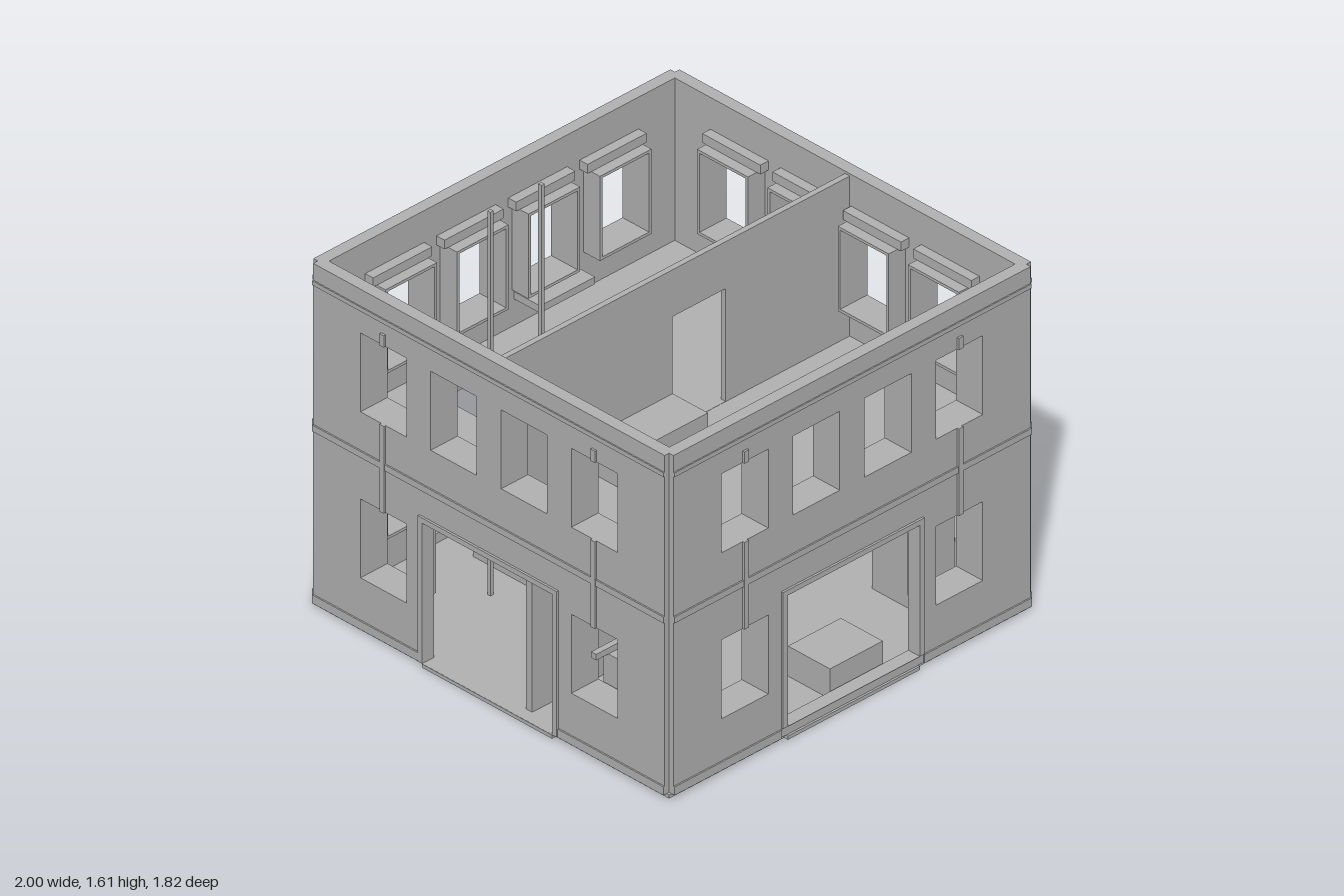
import * as THREE from 'three';

export function createModel() {
  const grey = new THREE.MeshStandardMaterial({ color: 0xb2b2b2 });
  grey.name = 'plaster grey';
  const model = new THREE.Group();
  model.name = 'building';

  const CX = -0.09, D = 0.9, HALF = 0.878, T = 0.05, H = 1.425;
  const WIN = [-0.527, -0.176, 0.176, 0.527], HW = 0.115;

  // Box given by its min and max on each axis
  const box = (parent, name, x0, x1, y0, y1, z0, z1) => {
    const m = new THREE.Mesh(new THREE.BoxGeometry(x1 - x0, y1 - y0, z1 - z0), grey);
    m.position.set((x0 + x1) / 2, (y0 + y1) / 2, (z0 + z1) / 2);
    m.name = name;
    parent.add(m);
    return m;
  };

  // Upright or flat panel with rectangular openings [u0, u1, v0, v1]
  const panel = (name, u0, u1, v0, v1, holes, depth) => {
    const rect = (S, [a, b, c, d]) => {
      const s = new S();
      s.moveTo(a, c); s.lineTo(b, c); s.lineTo(b, d); s.lineTo(a, d); s.closePath();
      return s;
    };
    const shape = rect(THREE.Shape, [u0, u1, v0, v1]);
    shape.holes = holes.map((h) => rect(THREE.Path, h));
    const m = new THREE.Mesh(new THREE.ExtrudeGeometry(shape, { depth, bevelEnabled: false }), grey);
    m.name = name;
    return m;
  };

  // One outer wall with windows, pipes, bands and a doorway; outside is local +z
  const side = (name, turn, doorHalf, doorBottom) => {
    const g = new THREE.Group();
    g.name = name;
    g.position.x = CX;
    g.rotation.y = turn;
    const inner = D - T;
    const openings = WIN.map((u) => [u - HW, u + HW, 0.915, 1.243]);
    for (const u of [WIN[0], WIN[3]]) openings.push([u - HW, u + HW, 0.225, 0.553]);
    const wall = panel('wall', -HALF, HALF, 0.015, H,
      [...openings, [-doorHalf, doorHalf, doorBottom, 0.6]], T);
    wall.position.z = inner;
    g.add(wall);

    // Deep inner window casings with a header and a sill
    for (const [a, b, c, d] of openings) {
      const e = 0.012;
      const casing = panel('windowCasing', a - e, b + e, c - e, d + e, [[a, b, c, d]], 0.085);
      casing.position.z = inner - 0.083;
      g.add(casing);
      box(g, 'windowHeader', a - 0.03, b + 0.03, d + e, d + 0.05, inner - 0.04, inner + 0.002);
    }

    // Pipes between the outer windows of both floors
    for (const u of [WIN[0], WIN[3]]) {
      box(g, 'pipe', u - 0.011, u + 0.011, 0.553, 0.915, D - 0.01, D + 0.009);
      box(g, 'pipeStub', u - 0.011, u + 0.011, 1.243, 1.292, D - 0.01, D + 0.009);
    }

    // Horizontal bands
    box(g, 'floorBand', -HALF, HALF, 0.73, 0.756, D - 0.01, D + 0.006);
    box(g, 'topBand', -HALF, HALF, 1.337, 1.355, D - 0.01, D + 0.005);
    for (const s of [-1, 1]) {
      const a = s < 0 ? -HALF : doorHalf + 0.025, b = s < 0 ? -doorHalf - 0.025 : HALF;
      box(g, 'baseBand', a, b, 0.015, 0.05, D - 0.01, D + 0.006);
    }

    // Door surround
    const trim = panel('doorSurround', -doorHalf - 0.023, doorHalf + 0.023, doorBottom, 0.622,
      [[-doorHalf, doorHalf, doorBottom + 0.0005, 0.6]], 0.018);
    trim.position.z = D - 0.009;
    g.add(trim);
    box(g, 'doorStep', -doorHalf, doorHalf, 0, 0.015, D - 0.02, D + 0.009);
    model.add(g);
    return g;
  };
  side('frontWall', 0, 0.325, 0.055);
  side('backWall', Math.PI, 0.325, 0.055);
  side('leftWall', Math.PI / 2, 0.24, 0.016);
  side('rightWall', -Math.PI / 2, 0.325, 0.016);

  // Ground floor
  box(model, 'groundFloor', CX - 0.89, CX + 0.89, 0, 0.015, -0.89, 0.89);

  // Upper floor with a ladder hatch (panel v axis becomes -z)
  const slab = panel('upperFloor', -0.95, 0.77, -0.86, 0.86, [[-0.54, -0.23, 0.44, 0.75]], 0.035);
  slab.rotation.x = -Math.PI / 2;
  slab.position.y = 0.715;
  model.add(slab);

  // Inner partitions, one per floor
  const upper = panel('upperPartition', -0.945, 0.765, 0.745, 1.415, [[-0.11, 0.15, 0.751, 1.22]], 0.024);
  model.add(upper);
  box(model, 'groundPartition', -0.945, 0.765, 0.01, 0.72, 0.14, 0.17);
  box(model, 'innerDoor', -0.02, 0.24, 0.015, 0.49, 0.165, 0.178);
  box(model, 'partitionStrip', -0.095, -0.085, 0.015, 0.72, 0.165, 0.178);

  // Ladder rails through the hatch
  for (const x of [-0.51, -0.26])
    box(model, 'ladderRail', x - 0.008, x + 0.008, 0.015, 1.61, -0.488, -0.472);

  // Canopy over the left door
  const canopy = new THREE.Group();
  canopy.name = 'canopy';
  box(canopy, 'canopyRoof', 0.805, 1.0, 0.633, 0.66, -0.285, 0.285);
  for (const s of [-1, 1]) {
    const z = s * 0.262;
    box(canopy, 'canopyPost', 0.94, 0.968, 0.015, 0.635, z - 0.016, z + 0.016);
    box(canopy, 'doorLintelEnd', 0.8, 0.825, 0.6, 0.625, s * 0.3 - 0.03, s * 0.3 + 0.03);
    box(canopy, 'doorPilaster', 0.8, 0.822, 0.015, 0.6, s * 0.285 - 0.012, s * 0.285 + 0.012);
  }
  model.add(canopy);
  box(model, 'wallBox', 0.8, 0.87, 0.19, 0.365, 0.305, 0.338);

  // Furniture
  box(model, 'crate', -0.14, 0.12, 0.015, 0.14, 0.63, 0.84);
  box(model, 'backCounter', -0.38, 0.05, 0.015, 0.345, -0.7, -0.43);
  for (const s of [-1, 1]) {
    const x = CX + s * 0.66;
    box(model, 'sideCounter', x - 0.1, x + 0.1, 0.015, 0.345, 0.43, 0.64);
    box(model, 'counterLip', x - 0.16, x + 0.16, 0.345, 0.37, 0.43, 0.455);
  }
  box(model, 'counterPost', 0.472, 0.484, 0.37, 0.72, 0.43, 0.455);
  box(model, 'upstairsCabinet', -0.51, -0.11, 0.745, 0.9, 0.024, 0.2);
  box(model, 'windowShelf', -0.03, 0.24, 0.86, 0.89, -0.855, -0.72);
  return model;
}
